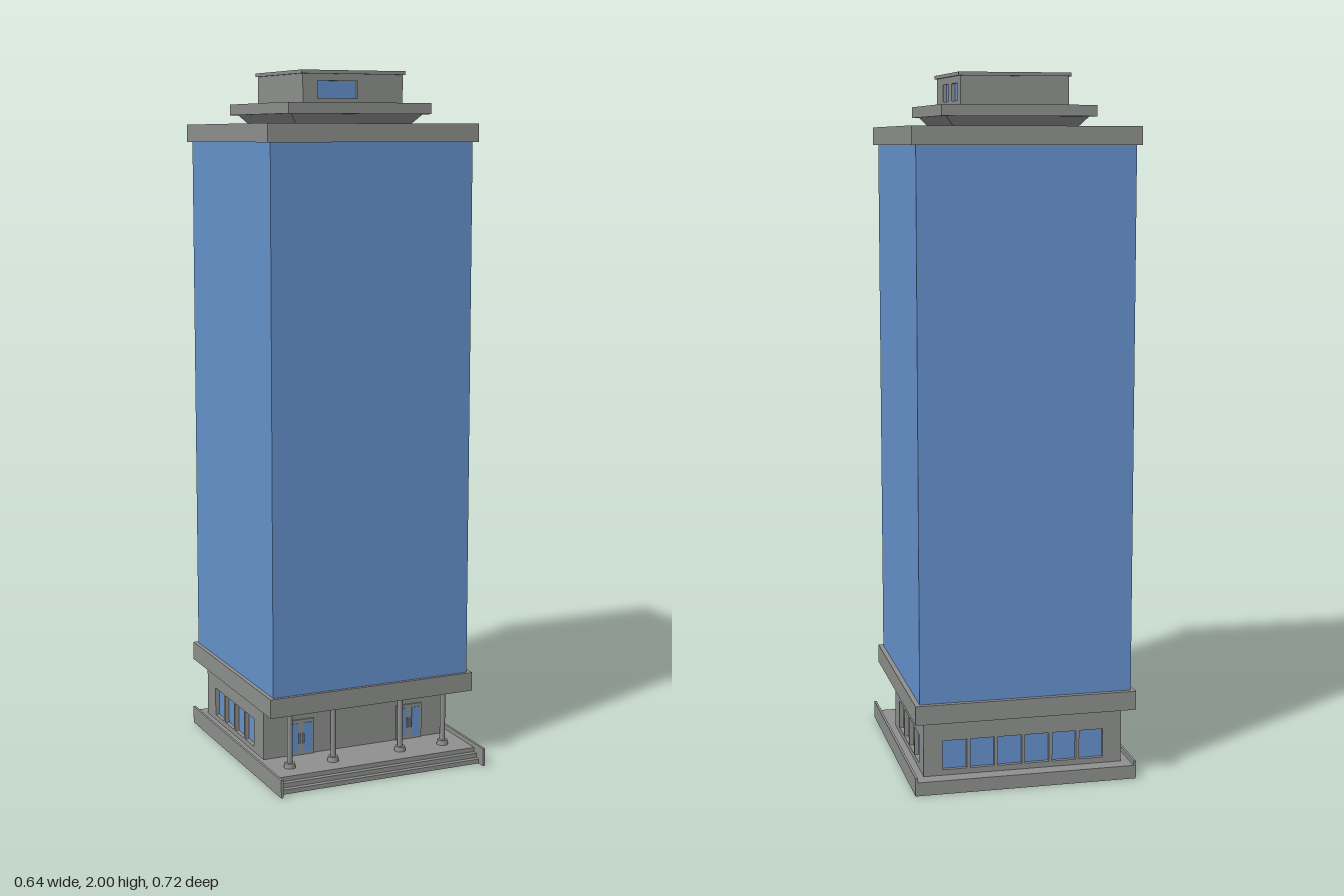
import * as THREE from 'three';

const mat = (name, color) => new THREE.MeshStandardMaterial({ name, color });

export function createModel() {
  const concrete = mat('concrete grey', 0x8e908e);
  const glass = mat('glass blue', 0x6592cc);
  const root = new THREE.Group();
  root.name = 'officeTower';

  // Box given by its minimum and maximum corners
  const box = (name, material, x0, x1, y0, y1, z0, z1, parent = root) => {
    const m = new THREE.Mesh(new THREE.BoxGeometry(x1 - x0, y1 - y0, z1 - z0), material);
    m.position.set((x0 + x1) / 2, (y0 + y1) / 2, (z0 + z1) / 2);
    m.name = name;
    parent.add(m);
    return m;
  };

  // Four walls around a rectangle; openings[k] = [x, width, y0, y1] for front, +x, back, -x
  const wallRing = (name, w, d, y0, y1, t, cz, openings = []) => {
    const ring = new THREE.Group();
    ring.name = name;
    ring.position.z = cz;
    for (let k = 0; k < 4; k++) {
      const side = k % 2;
      const half = side ? d / 2 - t : w / 2;
      const shape = new THREE.Shape([
        new THREE.Vector2(-half, y0), new THREE.Vector2(half, y0),
        new THREE.Vector2(half, y1), new THREE.Vector2(-half, y1),
      ]);
      for (const [x, ow, a, b] of openings[k] || []) {
        shape.holes.push(new THREE.Path([
          new THREE.Vector2(x - ow / 2, a), new THREE.Vector2(x - ow / 2, b),
          new THREE.Vector2(x + ow / 2, b), new THREE.Vector2(x + ow / 2, a),
        ]));
      }
      const geo = new THREE.ExtrudeGeometry(shape, { depth: t, bevelEnabled: false });
      geo.translate(0, 0, (side ? w : d) / 2 - t);
      const wall = new THREE.Mesh(geo, concrete);
      wall.rotation.y = k * Math.PI / 2;
      wall.name = name + 'Wall';
      ring.add(wall);
    }
    root.add(ring);
  };

  // Plinth with three front steps between low side walls
  const plinth = new THREE.Group();
  plinth.name = 'plinth';
  root.add(plinth);
  [[0, 0.013, 0.335], [0.013, 0.026, 0.32], [0.026, 0.039, 0.305]].forEach(([y0, y1, z]) =>
    box('step', concrete, -0.316, 0.316, y0, y1, -0.36, z, plinth));
  for (const s of [-1, 1]) {
    const cheek = box('sideWall', concrete, -0.0035, 0.0035, 0, 0.052, -0.36, 0.36, plinth);
    cheek.position.x = s * 0.3185;
  }

  // Lobby: walls with window openings around a glass core
  const sideWindows = [-0.1225, -0.04, 0.0425, 0.1275];
  const row = (xs, w, a, b) => xs.map(x => [x, w, a, b]);
  wallRing('lobby', 0.58, 0.465, 0.039, 0.205, 0.012, -0.0825, [
    [],
    row(sideWindows, 0.072, 0.055, 0.14),
    row([-0.2, -0.12, -0.04, 0.04, 0.12, 0.2], 0.07, 0.055, 0.14),
    row(sideWindows.map(x => -x), 0.072, 0.055, 0.14),
  ]);
  box('lobbyGlass', glass, -0.278, 0.278, 0.039, 0.2, -0.303, 0.138);

  // Double entrance doors
  for (const x of [-0.175, 0.175]) {
    const door = new THREE.Group();
    door.name = 'entranceDoor';
    door.position.x = x;
    root.add(door);
    box('doorFrame', concrete, -0.042, 0.042, 0.039, 0.145, 0.149, 0.155, door);
    for (const s of [-1, 1]) {
      const pane = box('doorPane', glass, -0.013, 0.013, 0.048, 0.135, 0.154, 0.157, door);
      pane.position.x = s * 0.022;
      const handle = box('doorHandle', concrete, -0.002, 0.002, 0.075, 0.105, 0.156, 0.161, door);
      handle.position.x = s * 0.006;
    }
  }

  // Porch columns on round feet
  for (const x of [-0.245, -0.11, 0.105, 0.245]) {
    const column = new THREE.Group();
    column.name = 'porchColumn';
    column.position.set(x, 0, 0.238);
    const shaft = new THREE.Mesh(new THREE.CylinderGeometry(0.008, 0.008, 0.166, 12), concrete);
    shaft.position.y = 0.122;
    shaft.name = 'columnShaft';
    const foot = new THREE.Mesh(new THREE.CylinderGeometry(0.015, 0.017, 0.014, 12), concrete);
    foot.position.y = 0.046;
    foot.name = 'columnFoot';
    column.add(shaft, foot);
    root.add(column);
  }

  // Glass shaft between two slabs
  box('lowerSlab', concrete, -0.32, 0.32, 0.205, 0.26, -0.36, 0.28);
  box('glassTower', glass, -0.308, 0.306, 0.26, 1.802, -0.346, 0.27);
  box('roofSlab', concrete, -0.32, 0.32, 1.802, 1.853, -0.36, 0.28);

  // Flared neck carrying a shallow tray
  const neckGeo = new THREE.CylinderGeometry(0.202 * Math.SQRT2, 0.178 * Math.SQRT2, 0.027, 4, 1).toNonIndexed();
  neckGeo.rotateY(Math.PI / 4);
  neckGeo.computeVertexNormals();
  const neck = new THREE.Mesh(neckGeo, concrete);
  neck.position.set(0, 1.8665, -0.039);
  neck.name = 'roofNeck';
  root.add(neck);
  box('trayFloor', concrete, -0.21, 0.21, 1.88, 1.89, -0.252, 0.174);
  wallRing('trayRim', 0.438, 0.447, 1.88, 1.911, 0.018, -0.039);

  // Penthouse with recessed windows and a thin cap
  wallRing('penthouse', 0.308, 0.333, 1.885, 1.99, 0.01, -0.0345, [
    [[-0.049, 0.122, 1.923, 1.971]],
    [[-0.034, 0.077, 1.923, 1.971], [0.087, 0.083, 1.923, 1.971]],
  ]);
  box('penthouseGlass', glass, -0.144, 0.144, 1.885, 1.988, -0.191, 0.122);
  box('penthouseCap', concrete, -0.16, 0.16, 1.99, 2, -0.207, 0.138);

  return root;
}
